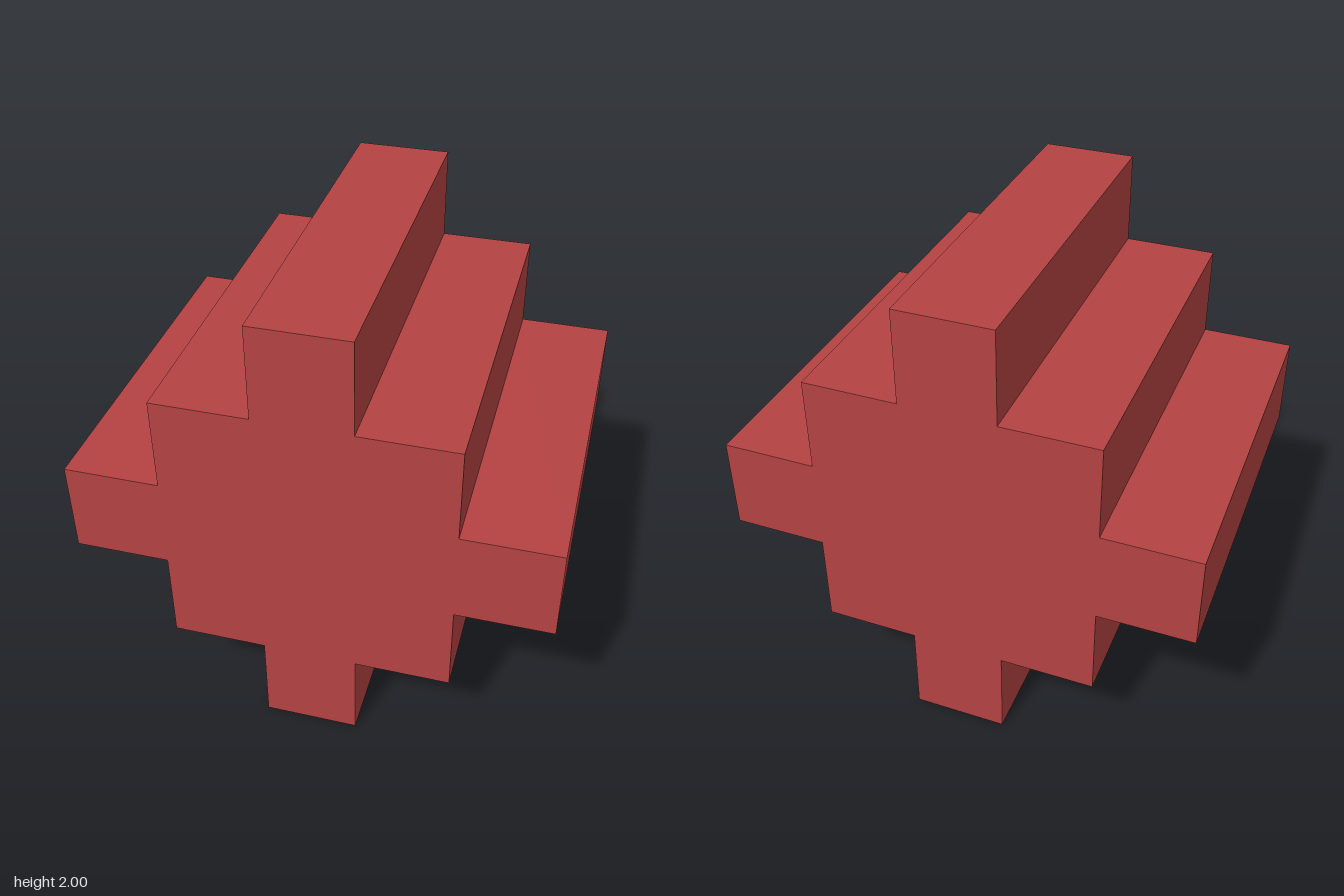
import * as THREE from 'three';

export function createModel() {
  const group = new THREE.Group();
  group.name = 'steppedPrism';
  const red = new THREE.MeshStandardMaterial({ color: 0xb54242 });
  red.name = 'brick red';

  // One quarter of the stepped outline, turned four times about the centre
  const quarter = [[1, -0.2], [1, 0.2], [0.6, 0.2], [0.6, 0.6], [0.2, 0.6]];
  const points = [];
  for (let i = 0; i < 4; i++) {
    for (const [x, y] of quarter) {
      const [px, py] = [[x, y], [-y, x], [-x, -y], [y, -x]][i];
      points.push(new THREE.Vector2(px, py));
    }
  }

  // Solid body running front to back
  const depth = 1.6;
  const geometry = new THREE.ExtrudeGeometry(new THREE.Shape(points), { depth, bevelEnabled: false });
  geometry.translate(0, 1, -depth / 2);
  const body = new THREE.Mesh(geometry, red);
  body.name = 'steppedBody';
  group.add(body);
  return group;
}
